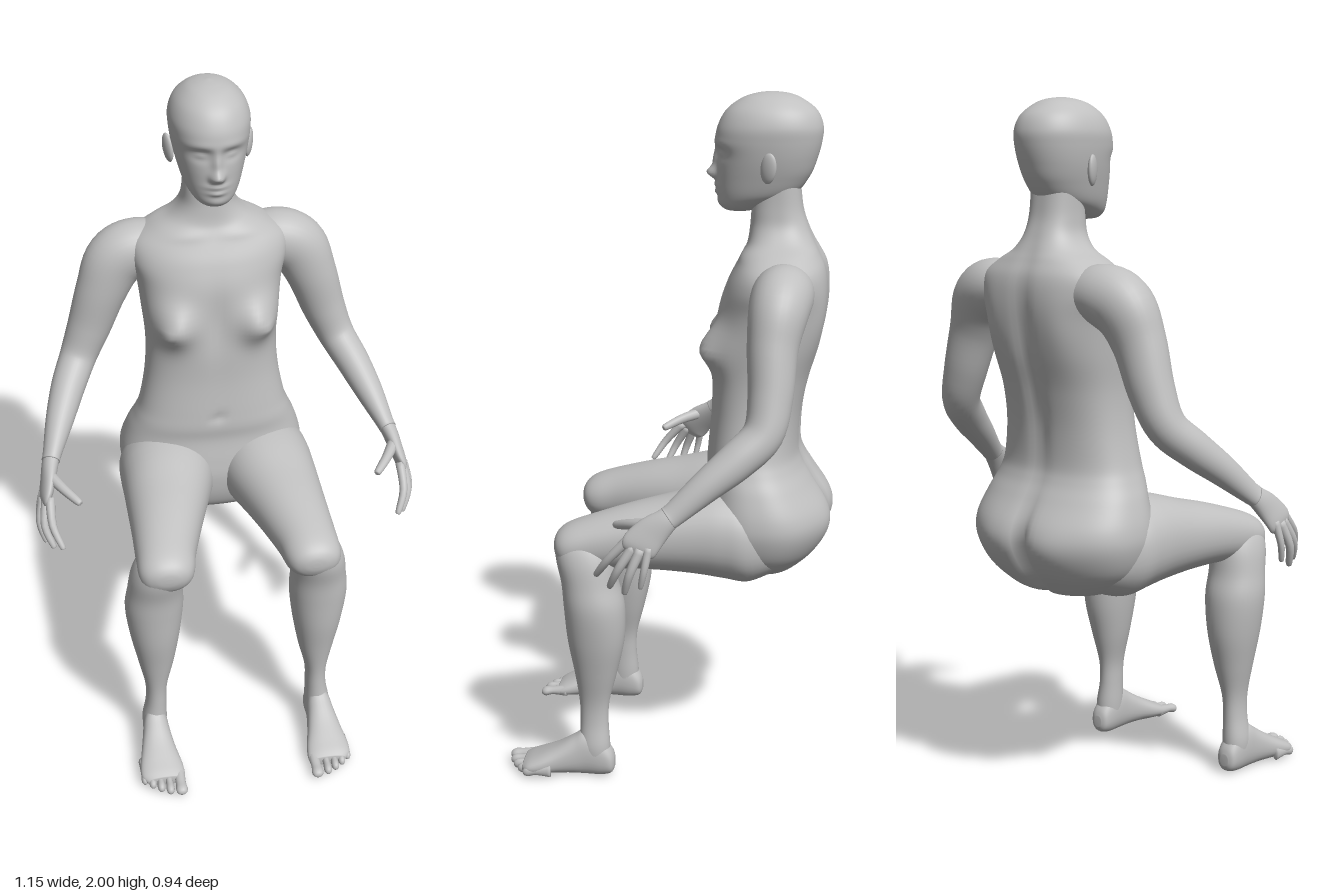
import * as THREE from 'three';

const skin = new THREE.MeshStandardMaterial({ color: 0xc0c0c0 });
skin.name = 'grey clay';

// Catmull-Rom interpolation of every number in a list of sections
function smoothRows(rows, sub) {
  const out = [];
  const at = i => rows[Math.min(rows.length - 1, Math.max(0, i))];
  for (let i = 0; i < rows.length - 1; i++)
    for (let k = 0; k < sub; k++) {
      const t = k / sub;
      out.push(rows[i].map((b, c) => {
        const a = at(i - 1)[c], d = at(i + 1)[c], e = at(i + 2)[c];
        return 0.5 * (2 * b + (d - a) * t + (2 * a - 5 * b + 4 * d - e) * t * t + (3 * b - a - 3 * d + e) * t ** 3);
      }));
    }
  out.push(rows[rows.length - 1]);
  return out;
}

// Skin over oval sections [x, y, z, radiusU, radiusV].
// axis: fixed section normal, or null to follow the path.
function loft(name, rows, { axis = null, sub = 5, seg = 24, power = 2, warp = null } = {}) {
  const s = smoothRows(rows, sub), pos = [], idx = [];
  const P = s.map(r => new THREE.Vector3(r[0], r[1], r[2]));
  const point = new THREE.Vector3();
  s.forEach((r, i) => {
    const T = axis ? axis.clone()
      : P[Math.min(i + 1, P.length - 1)].clone().sub(P[Math.max(i - 1, 0)]).normalize();
    const U = axis ? new THREE.Vector3(1, 0, 0) : new THREE.Vector3(0, 0, 1).cross(T).normalize();
    const V = T.clone().cross(U);
    for (let j = 0; j < seg; j++) {
      const a = j / seg * Math.PI * 2, c = Math.cos(a), n = Math.sin(a), e = 2 / power;
      point.copy(P[i])
        .addScaledVector(U, Math.sign(c) * Math.abs(c) ** e * r[3])
        .addScaledVector(V, Math.sign(n) * Math.abs(n) ** e * r[4]);
      if (warp) warp(point, n);
      pos.push(point.x, point.y, point.z);
    }
  });
  for (let i = 0; i < s.length - 1; i++)
    for (let j = 0; j < seg; j++) {
      const k = (j + 1) % seg, a = i * seg + j, b = i * seg + k;
      idx.push(a, b, b + seg, a, b + seg, a + seg);
    }
  // end caps
  const last = (s.length - 1) * seg, c0 = pos.length / 3;
  pos.push(...P[0].toArray(), ...P[P.length - 1].toArray());
  for (let j = 0; j < seg; j++) {
    const k = (j + 1) % seg;
    idx.push(c0, k, j, c0 + 1, last + j, last + k);
  }
  const g = new THREE.BufferGeometry();
  g.setAttribute('position', new THREE.Float32BufferAttribute(pos, 3));
  g.setIndex(idx);
  g.computeVertexNormals();
  const mesh = new THREE.Mesh(g, skin);
  mesh.name = name;
  return mesh;
}

const Y = new THREE.Vector3(0, 1, 0), Z = new THREE.Vector3(0, 0, 1);

// [y, halfWidth, frontZ, backZ] -> horizontal section
const slice = ([y, w, f, b]) => [0, y, (f + b) / 2, w, (f - b) / 2];
// [z, centreX, halfWidth, bottomY, topY] -> upright section
const upright = ([z, x, w, lo, hi]) => [x, (lo + hi) / 2, z, w, (hi - lo) / 2];

// Soft mirrored relief; each bump is [x, y, spreadX, spreadY, height]
const relief = (front, back) => (p, n) => {
  const w = Math.min(1, Math.abs(n) * 2.5), dir = n < 0 ? 1 : -1;
  const ax = Math.abs(p.x), y = p.y;
  for (const [bx, by, sx, sy, h] of n < 0 ? front : back)
    p.z += dir * w * h * Math.exp(-(((ax - bx) / sx) ** 2 + ((y - by) / sy) ** 2) / 2);
};

function makeTorso() {
  const rows = [
    [0.615, 0.05, -0.24, -0.32], [0.625, 0.14, -0.18, -0.36], [0.65, 0.2, -0.13, -0.39],
    [0.7, 0.255, -0.105, -0.43], [0.77, 0.283, -0.095, -0.46], [0.83, 0.283, -0.1, -0.455],
    [0.9, 0.262, -0.11, -0.415], [0.95, 0.24, -0.107, -0.387], [1, 0.222, -0.11, -0.375],
    [1.1, 0.203, -0.118, -0.38], [1.2, 0.197, -0.12, -0.4], [1.3, 0.205, -0.13, -0.427],
    [1.4, 0.217, -0.137, -0.442], [1.47, 0.235, -0.158, -0.445], [1.52, 0.225, -0.182, -0.438],
    [1.56, 0.17, -0.205, -0.42], [1.59, 0.115, -0.215, -0.405], [1.63, 0.083, -0.22, -0.387],
    [1.68, 0.074, -0.224, -0.37], [1.75, 0.072, -0.235, -0.36]];
  const front = [[0.13, 1.295, 0.045, 0.045, 0.058], [0.155, 1.28, 0.014, 0.014, 0.014],
    [0, 0.985, 0.012, 0.012, -0.008], [0, 1.3, 0.02, 0.08, -0.006], [0.09, 1.555, 0.06, 0.012, 0.006]];
  const back = [[0, 1.25, 0.022, 0.2, -0.016], [0, 0.73, 0.016, 0.09, -0.035],
    [0.1, 0.76, 0.06, 0.07, 0.016], [0.13, 1.38, 0.045, 0.07, 0.012]];
  return loft('torso', rows.map(slice), { axis: Y, sub: 6, seg: 96, power: 2.4, warp: relief(front, back) });
}

function makeHead() {
  const rows = [
    [1.668, 0.012, -0.17, -0.2], [1.673, 0.036, -0.148, -0.23], [1.69, 0.058, -0.133, -0.27],
    [1.72, 0.079, -0.127, -0.345], [1.77, 0.095, -0.125, -0.385], [1.82, 0.107, -0.125, -0.405],
    [1.87, 0.114, -0.119, -0.417], [1.91, 0.114, -0.127, -0.418], [1.95, 0.098, -0.15, -0.4],
    [1.98, 0.068, -0.19, -0.36], [1.994, 0.037, -0.23, -0.325], [2, 0.004, -0.27, -0.28]];
  const front = [
    [0, 1.774, 0.012, 0.012, 0.026], [0, 1.81, 0.01, 0.024, 0.014], [0.014, 1.768, 0.006, 0.008, 0.008],
    [0.044, 1.835, 0.02, 0.013, -0.013], [0.044, 1.832, 0.013, 0.007, 0.008], [0.045, 1.86, 0.03, 0.01, 0.004],
    [0, 1.741, 0.02, 0.006, 0.009], [0, 1.722, 0.017, 0.006, 0.009], [0, 1.69, 0.02, 0.012, 0.005]];
  return loft('head', rows.map(slice), { axis: Y, sub: 10, seg: 128, power: 2.15, warp: relief(front, []) });
}

function makeSide(s) {
  const side = new THREE.Group();
  side.name = s > 0 ? 'leftSide' : 'rightSide';
  const flip = rows => rows.map(([x, ...r]) => [x * s, ...r]);
  const add = (name, rows, opt) => side.add(loft(name, flip(rows), opt));

  // ear
  const ear = new THREE.Mesh(new THREE.SphereGeometry(1, 20, 14), skin);
  ear.name = 'ear';
  ear.scale.set(0.011, 0.043, 0.024);
  ear.position.set(0.116 * s, 1.803, -0.278);
  ear.rotation.set(-0.15, -0.4 * s, -0.12 * s);
  side.add(ear);

  // shoulder to wrist
  add('arm', [
    [0.1, 1.465, -0.335, 0.06, 0.07], [0.2, 1.473, -0.332, 0.085, 0.085], [0.272, 1.44, -0.325, 0.09, 0.082],
    [0.318, 1.35, -0.315, 0.077, 0.07], [0.36, 1.23, -0.315, 0.066, 0.062], [0.4, 1.135, -0.3, 0.056, 0.056],
    [0.44, 1.07, -0.235, 0.051, 0.053], [0.476, 1.005, -0.155, 0.042, 0.044],
    [0.508, 0.94, -0.08, 0.028, 0.034], [0.516, 0.925, -0.06, 0.026, 0.033]], { seg: 32, sub: 6 });

  // hand
  add('palm', [
    [0.505, 0.945, -0.085, 0.022, 0.028], [0.518, 0.92, -0.055, 0.024, 0.034], [0.53, 0.885, -0.015, 0.021, 0.046],
    [0.541, 0.85, 0.015, 0.017, 0.05], [0.543, 0.83, 0.027, 0.008, 0.036]], { seg: 24 });
  const fingers = {
    indexFinger: [[0.53, 0.865, 0.045], [0.53, 0.805, 0.1], [0.505, 0.745, 0.142]],
    middleFinger: [[0.541, 0.85, 0.03], [0.552, 0.785, 0.07], [0.53, 0.722, 0.1]],
    ringFinger: [[0.549, 0.845, 0.01], [0.564, 0.778, 0.037], [0.55, 0.714, 0.055]],
    littleFinger: [[0.549, 0.85, -0.012], [0.563, 0.79, -0.002], [0.557, 0.735, 0.01]],
    thumb: [[0.522, 0.905, -0.01], [0.488, 0.892, 0.045], [0.444, 0.872, 0.098]]
  };
  for (const [name, [a, b, c]] of Object.entries(fingers)) {
    const r = name === 'thumb' ? 0.015 : name === 'littleFinger' ? 0.01 : 0.012;
    const near = c.map((v, i) => v + (b[i] - v) * 0.12);
    add(name, [[...a, r * 1.2, r * 1.2], [...b, r, r], [...near, r * 0.75, r * 0.75], [...c, r * 0.2, r * 0.2]],
      { seg: 12, sub: 4 });
  }

  // thigh, cut by upright sections
  add('thigh', [
    [-0.33, 0.14, 0.1, 0.65, 0.83], [-0.25, 0.148, 0.143, 0.617, 0.89], [-0.18, 0.152, 0.147, 0.625, 0.903],
    [-0.1, 0.16, 0.139, 0.637, 0.893], [0, 0.177, 0.122, 0.648, 0.865], [0.1, 0.194, 0.105, 0.652, 0.84],
    [0.2, 0.211, 0.09, 0.65, 0.81], [0.265, 0.218, 0.083, 0.652, 0.787], [0.297, 0.219, 0.066, 0.67, 0.768],
    [0.312, 0.218, 0.038, 0.695, 0.748], [0.316, 0.217, 0.01, 0.715, 0.73]].map(upright), { axis: Z, seg: 40, power: 2.15 });

  // lower leg with knee and calf
  add('lowerLeg', [
    [0.26, 0.05, 0.2, 0.035, 0.045], [0.26, 0.1, 0.2, 0.038, 0.046], [0.254, 0.17, 0.201, 0.032, 0.042],
    [0.252, 0.24, 0.2, 0.034, 0.045], [0.25, 0.335, 0.195, 0.055, 0.064], [0.251, 0.44, 0.193, 0.075, 0.084],
    [0.251, 0.545, 0.197, 0.087, 0.089], [0.247, 0.62, 0.21, 0.083, 0.083], [0.24, 0.69, 0.222, 0.079, 0.087],
    [0.228, 0.74, 0.228, 0.068, 0.08], [0.222, 0.77, 0.22, 0.035, 0.045]], { axis: Y, seg: 36, power: 2.1 });

  // foot and toes
  add('foot', [
    [0.14, 0.26, 0.014, 0.025, 0.06], [0.15, 0.26, 0.03, 0.008, 0.085], [0.18, 0.26, 0.036, 0, 0.12],
    [0.225, 0.261, 0.039, 0, 0.145], [0.26, 0.262, 0.044, 0.002, 0.125], [0.31, 0.263, 0.054, 0.003, 0.093],
    [0.36, 0.262, 0.065, 0.002, 0.067], [0.395, 0.26, 0.066, 0.003, 0.05],
    [0.415, 0.253, 0.055, 0.008, 0.038]].map(upright), { axis: Z, seg: 32, power: 2.3 });
  [[0.212, 0.47, 0.018], [0.246, 0.462, 0.0125], [0.272, 0.448, 0.012], [0.296, 0.43, 0.0115], [0.318, 0.41, 0.011]]
    .forEach(([x, tip, r], i) => add('toe' + (i + 1), [
      [tip - 0.085, x, r, 0.006, 0.045], [tip - 0.04, x, r * 0.85, 0.01, 0.036], [tip - 0.016, x, r, 0.004, 0.034],
      [tip - 0.004, x, r * 0.7, 0.008, 0.028], [tip, x, r * 0.2, 0.015, 0.021]].map(upright), { axis: Z, seg: 14, sub: 4 }));
  return side;
}

export function createModel() {
  const model = new THREE.Group();
  model.name = 'seatedFigure';
  model.add(makeTorso(), makeHead(), makeSide(1), makeSide(-1));
  return model;
}
